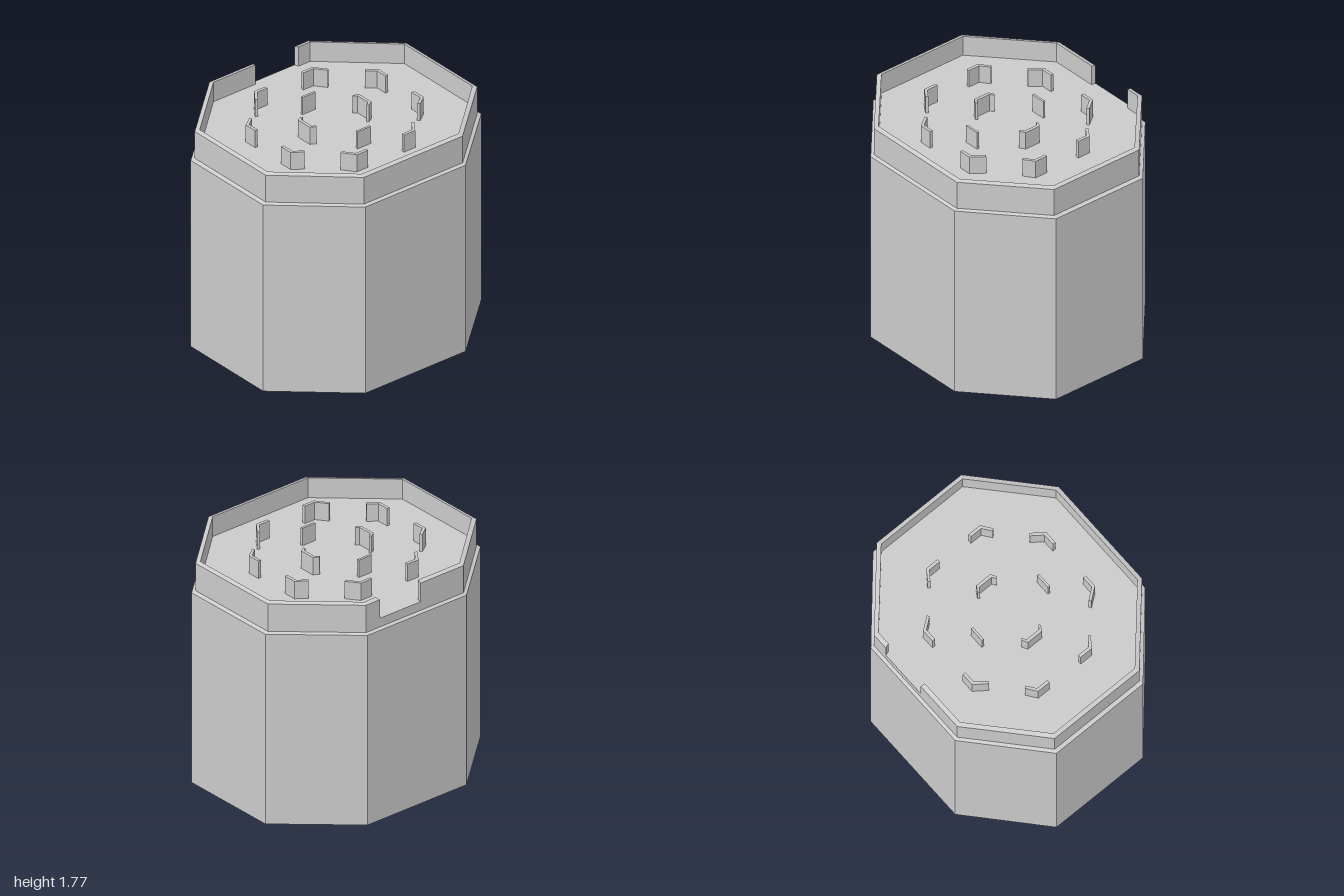
import * as THREE from 'three';

const material = new THREE.MeshStandardMaterial({ color: 0xcccccc, flatShading: true, side: THREE.DoubleSide });

const FLOOR = 1.61, RIM_TOP = 1.77, POST_HEIGHT = 0.14;

// Octagon corners [x, z], starting on the left-hand -x face and running past the front
const octagon = (hx, bz, ax, hz) => [
  [-hx, bz], [-ax, hz], [ax, hz], [hx, bz], [hx, -bz], [ax, -hz], [-ax, -hz], [-hx, -bz],
];
const atHeight = (outline, y) => outline.map(([x, z]) => new THREE.Vector3(x, y, z));

// Flat-faced skin through rows of points; closed joins the last point of a row to its first
function skin(name, rows, closed) {
  const pts = [];
  for (let i = 0; i + 1 < rows.length; i++) {
    const n = rows[i].length;
    for (let j = 0; j < (closed ? n : n - 1); j++) {
      const k = (j + 1) % n;
      const [a, b, c, d] = [rows[i][j], rows[i][k], rows[i + 1][k], rows[i + 1][j]];
      pts.push(a, b, c);
      if (!c.equals(d)) pts.push(a, c, d);
    }
  }
  const geometry = new THREE.BufferGeometry().setFromPoints(pts);
  geometry.computeVertexNormals();
  const mesh = new THREE.Mesh(geometry, material);
  mesh.name = name;
  return mesh;
}

// Thin upright post on the floor, from a plan outline mirrored in x and z
function post(name, outline, sx, sz) {
  const shape = new THREE.Shape(outline.map(([x, z]) => new THREE.Vector2(x * sx, -(z * sz + 0.012))));
  const geometry = new THREE.ExtrudeGeometry(shape, { depth: POST_HEIGHT, bevelEnabled: false });
  geometry.rotateX(-Math.PI / 2);
  const mesh = new THREE.Mesh(geometry, material);
  mesh.position.y = FLOOR;
  mesh.name = name;
  return mesh;
}

export function createModel() {
  const model = new THREE.Group();
  model.name = 'octagonalTower';

  const wall = octagon(0.885, 0.46, 0.403, 1.0);
  const rimOuter = octagon(0.86, 0.453, 0.395, 0.97);
  const rimInner = octagon(0.826, 0.443, 0.378, 0.938);

  // Hollow body, open below, with its narrow ledge
  model.add(skin('body', [
    atHeight(wall, 0), atHeight(wall, 1.53), atHeight(rimOuter, 1.54), atHeight(rimOuter, FLOOR),
  ], true));

  // Deck that closes the body
  const centre = rimOuter.map(() => new THREE.Vector3(0, FLOOR, 0));
  model.add(skin('deck', [atHeight(rimOuter, FLOOR), centre], true));

  // Parapet with a gap in the -x side
  const gapped = (o, z0, z1) => [[o[0][0], z1], ...o, [o[0][0], z0]];
  const outer = gapped(rimOuter, -0.325, 0.055);
  const inner = gapped(rimInner, -0.335, 0.06);
  const rows = [
    atHeight(outer, FLOOR), atHeight(outer, RIM_TOP - 0.01),
    atHeight(inner, RIM_TOP), atHeight(inner, FLOOR),
  ];
  model.add(skin('parapet', rows, false));
  for (const end of [0, outer.length - 1]) {
    const [a, b, c, d] = rows.map((row) => row[end]);
    model.add(skin('parapetEnd', [[a, d], [b, c]], false));
  }

  // Angled posts around the deck
  const longBracket = [[0.145, 0.61], [0.25, 0.61], [0.307, 0.53], [0.291, 0.517], [0.24, 0.586], [0.145, 0.586]];
  const sideBracket = [[0.573, 0.165], [0.573, 0.267], [0.478, 0.338], [0.466, 0.32], [0.549, 0.257], [0.549, 0.165]];
  const centreBracket = [
    [-0.09, 0.24], [-0.065, 0.27 + 0.012], [0.065, 0.282], [0.09, 0.24],
    [0.077, 0.228], [0.058, 0.258], [-0.058, 0.258], [-0.077, 0.228],
  ];
  for (const sz of [1, -1]) {
    for (const sx of [1, -1]) {
      model.add(post('endBracket', longBracket, sx, sz), post('sideBracket', sideBracket, sx, sz));
    }
    model.add(post('centreBracket', centreBracket, 1, sz));
  }

  // Straight posts either side of the centre
  for (const x of [-0.296, 0.32]) {
    const plate = [[x - 0.009, -0.06], [x + 0.009, -0.06], [x + 0.009, 0.06], [x - 0.009, 0.06]];
    model.add(post('straightPost', plate, 1, 1));
  }
  return model;
}
